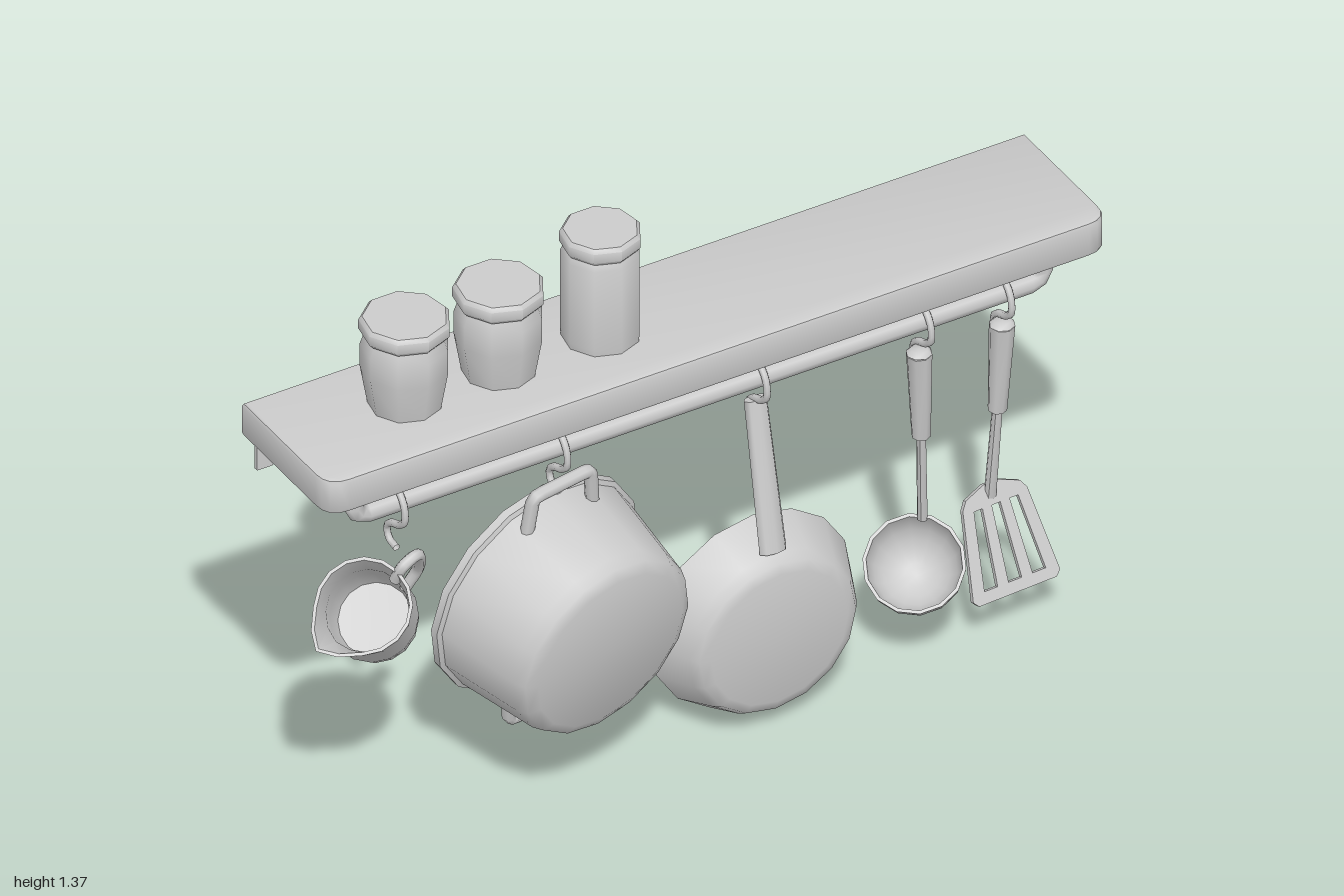
import * as THREE from 'three';
import { toCreasedNormals } from 'three/addons/utils/BufferGeometryUtils.js';

const grey = new THREE.MeshStandardMaterial({ color: 0xcccccc, side: THREE.DoubleSide });
const V = (x, y, z) => new THREE.Vector3(x, y, z);

function add(parent, name, geometry) {
  const mesh = new THREE.Mesh(geometry, grey);
  mesh.name = name;
  parent.add(mesh);
  return mesh;
}

function group(parent, name, x, y, z) {
  const g = new THREE.Group();
  g.name = name;
  g.position.set(x, y, z);
  parent.add(g);
  return g;
}

// Turned part from [radius, height] pairs, listed bottom to top
const turned = (profile, sides) => toCreasedNormals(
  new THREE.LatheGeometry(profile.map(([r, y]) => new THREE.Vector2(r, y)), sides), 0.85);

// Bent bar: rounded-corner path with capped ends
function bar(points, radius, steps = 24, sides = 8, tension = 0.15) {
  const curve = new THREE.CatmullRomCurve3(points, false, 'catmullrom', tension);
  return new THREE.TubeGeometry(curve, steps, radius, sides);
}

// Straight tapered rod between two points
function rod(parent, name, a, b, ra, rb, sides = 8) {
  const mesh = add(parent, name, toCreasedNormals(
    new THREE.CylinderGeometry(rb, ra, a.distanceTo(b), sides), 0.85));
  mesh.position.copy(a).add(b).multiplyScalar(0.5);
  mesh.quaternion.setFromUnitVectors(V(0, 1, 0), b.clone().sub(a).normalize());
  return mesh;
}

function buildShelf(root) {
  // Board: square back corners, rounded front corners
  const s = new THREE.Shape();
  const w = 0.99, back = 0.238, front = -0.112, r = 0.045;
  s.moveTo(-w, back);
  s.lineTo(-w, front + r);
  s.quadraticCurveTo(-w, front, -w + r, front);
  s.lineTo(w - r, front);
  s.quadraticCurveTo(w, front, w, front + r);
  s.lineTo(w, back);
  const board = new THREE.ExtrudeGeometry(s, {
    depth: 0.07, bevelSize: 0.01, bevelThickness: 0.01, bevelSegments: 2, curveSegments: 4 });
  board.rotateX(-Math.PI / 2).translate(0, 1.01, 0);
  add(root, 'shelfBoard', toCreasedNormals(board, 0.7));

  // L-shaped wall brackets
  for (const side of [-1, 1]) {
    const bracket = group(root, 'wallBracket', side * 0.95, 0, 0);
    add(bracket, 'bracketArm', new THREE.BoxGeometry(0.04, 0.016, 0.16)).position.set(0, 0.993, -0.163);
    add(bracket, 'bracketPlate', new THREE.BoxGeometry(0.04, 0.097, 0.012)).position.set(0, 0.953, -0.239);
  }

  // Hanging rail turned up into the board at both ends
  add(root, 'rail', bar([V(-0.88, 1.01, 0.028), V(-0.88, 0.935, 0.028), V(-0.855, 0.91, 0.028),
    V(0.855, 0.91, 0.028), V(0.88, 0.935, 0.028), V(0.88, 1.01, 0.028)], 0.025, 80, 8, 0.02));
}

function buildJars(root) {
  const rounded = [[0, 0], [0.083, 0], [0.1, 0.1], [0.1, 0.16], [0.089, 0.192]];
  const straight = [[0, 0], [0.088, 0], [0.09, 0.02], [0.09, 0.23], [0.082, 0.247]];
  const jars = [[-0.69, rounded, 0.19, 0.103], [-0.45, rounded, 0.19, 0.103], [-0.19, straight, 0.245, 0.092]];
  for (const [x, body, top, r] of jars) {
    const jar = group(root, 'jar', x, 1.088, -0.068);
    add(jar, 'jarBody', turned(body, 9));
    add(jar, 'jarLid', turned([[0, top], [r - 0.008, top], [r, top + 0.01], [r, top + 0.034],
      [r - 0.008, top + 0.043], [0, top + 0.043]], 9));
  }
}

function buildHooks(root) {
  const path = [[0.935, -0.012], [0.946, 0.03], [0.92, 0.06], [0.88, 0.066], [0.855, 0.045],
    [0.838, 0.005], [0.815, -0.012], [0.79, 0], [0.785, 0.03]];
  for (const x of [-0.77, -0.355, 0.155, 0.575, 0.78]) {
    add(root, 'hook', bar(path.map(([y, z]) => V(x, y, z)), 0.009, 20, 6, 0.5));
  }
}

function buildPot(root) {
  const pot = group(root, 'pot', -0.372, 0.5, -0.06);
  pot.rotation.set(0.16, 0.155, 0);
  add(pot, 'potBody', turned([[0, -0.275], [0.205, -0.275], [0.232, -0.262], [0.243, -0.235], [0.275, -0.025],
    [0.286, -0.02], [0.286, 0], [0.27, 0], [0.23, -0.235], [0.2, -0.257], [0, -0.26]], 16).rotateX(-Math.PI / 2));
  for (const side of [1, -1]) {
    add(pot, 'potHandle', bar([V(-0.092, side * 0.235, 0.065), V(-0.08, side * 0.325, 0.06),
      V(-0.065, side * 0.336, 0.06), V(0.07, side * 0.336, 0.06), V(0.085, side * 0.325, 0.06),
      V(0.095, side * 0.235, 0.065)], 0.016));
  }
}

function buildPan(root) {
  const pan = group(root, 'fryingPan', 0.157, 0.262, -0.008);
  pan.rotation.x = 0.04;
  add(pan, 'panBody', turned([[0, -0.125], [0.175, -0.125], [0.2, -0.117], [0.215, -0.095], [0.258, 0],
    [0.248, 0], [0.203, -0.095], [0.185, -0.11], [0, -0.113]], 16).rotateX(-Math.PI / 2));
  // Flattened handle rising from the side wall
  const handle = rod(root, 'panHandle', V(0.157, 0.475, 0.088), V(0.157, 0.84, 0.012), 0.034, 0.029);
  handle.scale.z = 0.6;
}

function buildGrip(parent, top, bottom) {
  rod(parent, 'grip', bottom, top, 0.022, 0.03);
  rod(parent, 'gripCap', top, top.clone().add(V(0, 0.01, 0)), 0.03, 0.02);
}

function buildLadle(root) {
  const ladle = group(root, 'ladle', 0, 0, 0);
  buildGrip(ladle, V(0.565, 0.825, 0.03), V(0.582, 0.585, 0.01));
  rod(ladle, 'ladleShaft', V(0.606, 0.33, -0.025), V(0.582, 0.59, 0.01), 0.012, 0.011);
  // Half-sphere bowl with wall thickness
  const profile = [];
  for (let i = 0; i <= 6; i++) {
    const a = i / 6 * Math.PI / 2;
    profile.push([0.115 * Math.sin(a), -0.115 * Math.cos(a)]);
  }
  for (let i = 6; i >= 0; i--) {
    const a = i / 6 * Math.PI / 2;
    profile.push([0.107 * Math.sin(a), -0.107 * Math.cos(a)]);
  }
  const bowl = add(ladle, 'ladleBowl', turned(profile, 14));
  bowl.position.set(0.548, 0.267, 0.038);
  bowl.quaternion.setFromUnitVectors(V(0, 1, 0), V(-0.5, 1, 0.7).normalize());
}

function buildSpatula(root) {
  const spatula = group(root, 'spatula', 0, 0, 0);
  buildGrip(spatula, V(0.777, 0.825, 0.03), V(0.777, 0.585, 0.01));
  rod(spatula, 'spatulaShaft', V(0.779, 0.33, -0.025), V(0.777, 0.59, 0.01), 0.014, 0.012);
  // Slotted blade, flared toward the bottom
  const s = new THREE.Shape();
  const outline = [[-0.02, 0.01], [-0.07, -0.01], [-0.083, -0.03], [-0.112, -0.235], [-0.1, -0.248],
    [0.1, -0.248], [0.112, -0.235], [0.083, -0.03], [0.07, -0.01], [0.02, 0.01]];
  s.setFromPoints(outline.map(([x, y]) => new THREE.Vector2(x, y)));
  for (const k of [-1, 0, 1]) {
    const top = k * 0.046, low = k * 0.062;
    s.holes.push(new THREE.Path([[top - 0.011, -0.04], [top + 0.011, -0.04], [low + 0.017, -0.22], [low - 0.017, -0.22]]
      .map(([x, y]) => new THREE.Vector2(x, y))));
  }
  const blade = add(spatula, 'spatulaBlade', new THREE.ExtrudeGeometry(s, { depth: 0.012, bevelEnabled: false }));
  blade.position.set(0.783, 0.347, -0.035);
  blade.rotation.set(-0.4, 0, 0.04);
}

function buildJug(root) {
  const jug = group(root, 'jug', -0.785, 0.555, -0.03);
  jug.rotation.set(0.55, 0, 0.6, 'ZXY');
  const geo = new THREE.LatheGeometry([[0, 0], [0.085, 0], [0.095, 0.012], [0.104, 0.07], [0.1, 0.14], [0.11, 0.2],
    [0.102, 0.2], [0.092, 0.14], [0.095, 0.07], [0.084, 0.018], [0, 0.015]].map(([r, y]) => new THREE.Vector2(r, y)), 16);
  // Pull the rim out into a pouring lip on the -x side
  const p = geo.attributes.position;
  for (let i = 0; i < p.count; i++) {
    const x = p.getX(i), y = p.getY(i), z = p.getZ(i);
    const k = Math.max(0, -x / Math.hypot(x, z, 1e-6)) ** 8 * Math.max(0, (y - 0.13) / 0.07);
    p.setXYZ(i, x - 0.035 * k, y + 0.012 * k, z);
  }
  add(jug, 'jugBody', toCreasedNormals(geo, 0.85));
  add(jug, 'jugHandle', bar([V(0.09, 0.165, 0), V(0.12, 0.2, 0), V(0.155, 0.195, 0), V(0.165, 0.165, 0),
    V(0.145, 0.085, 0), V(0.095, 0.04, 0)], 0.014, 20, 8, 0.4));
}

export function createModel() {
  const root = new THREE.Group();
  root.name = 'kitchenRack';
  buildShelf(root);
  buildJars(root);
  buildHooks(root);
  buildPot(root);
  buildPan(root);
  buildLadle(root);
  buildSpatula(root);
  buildJug(root);
  return root;
}
